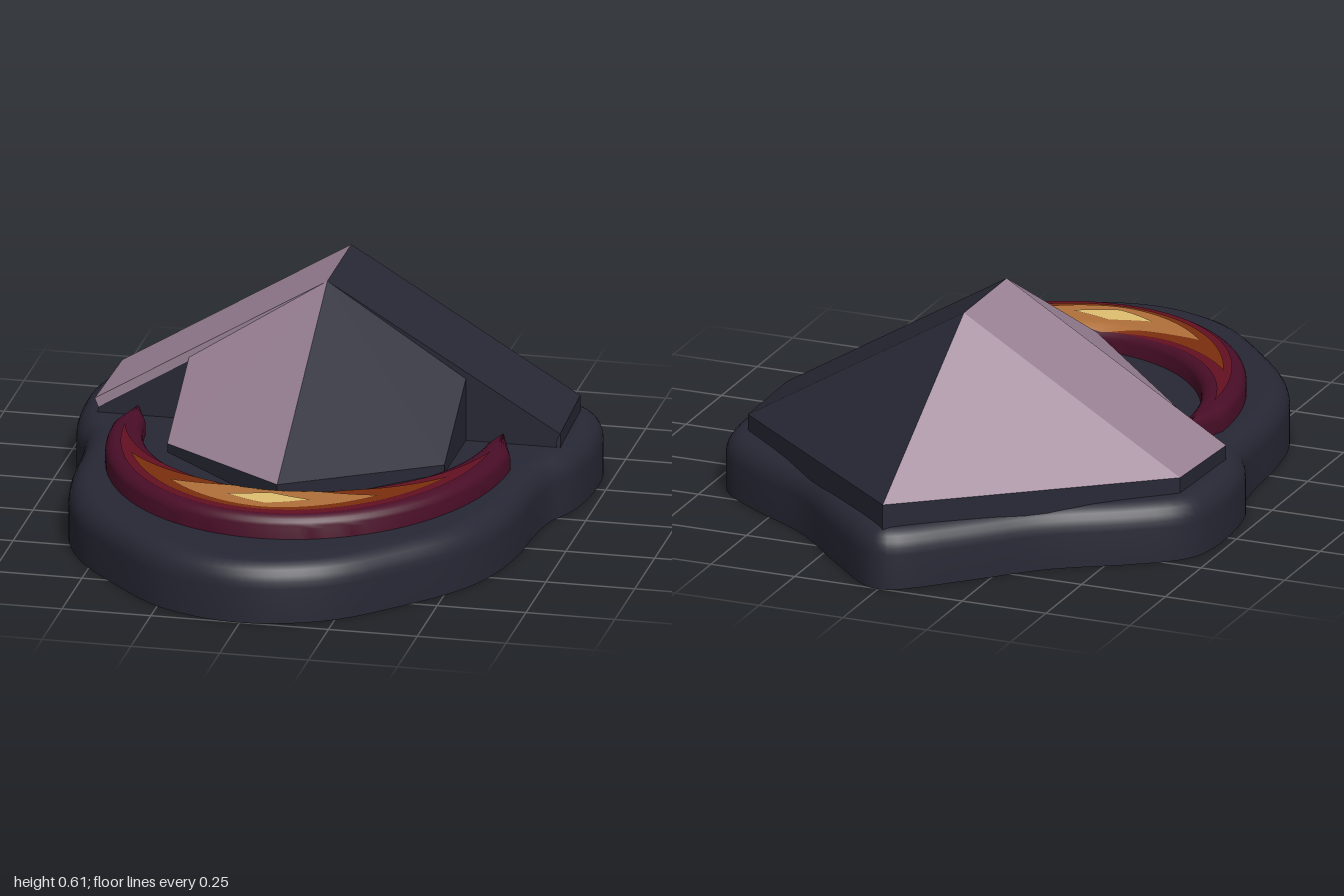
import * as THREE from 'three';
import { toCreasedNormals } from 'three/addons/utils/BufferGeometryUtils.js';

const mat = (name, color) => {
  const m = new THREE.MeshStandardMaterial({ color });
  m.name = name;
  return m;
};

// Flat polygons, fan-triangulated; side = -1 mirrors them across x = 0
function polygons(list, side) {
  const pos = [];
  for (const pts of list) {
    for (let i = 1; i < pts.length - 1; i++) {
      const tri = side > 0 ? [pts[0], pts[i], pts[i + 1]] : [pts[0], pts[i + 1], pts[i]];
      for (const [x, y, z] of tri) pos.push(x * side, y, z);
    }
  }
  const g = new THREE.BufferGeometry();
  g.setAttribute('position', new THREE.Float32BufferAttribute(pos, 3));
  g.computeVertexNormals();
  return g;
}

// Upright slab with a rounded rim, drawn in plan as (x, -z)
function slab(points, depth, bevel, rise, y) {
  const g = new THREE.ExtrudeGeometry(new THREE.Shape(points), {
    depth, bevelEnabled: true, bevelThickness: rise, bevelSize: bevel,
    bevelOffset: 0, bevelSegments: 6,
  });
  return g.rotateX(-Math.PI / 2).translate(0, y, 0);
}

// Crescent edges: inner and outer half ellipses, t = 0 at the front
const RIM = 0.035;
const inner = (t, inset = 0) => [(0.48 + inset) * Math.sin(t), 0.01 + (0.55 + inset) * Math.cos(t)];
const outer = (t, inset = 0) => [(0.56 - inset) * Math.sin(t), 0.1 + (0.685 - inset) * Math.cos(t)];

// Thin pointed colour band draped over the crescent
function band(tMax, f0, f1, tip, power, lift) {
  const nt = 48, nf = 12, pos = [], index = [];
  for (let i = 0; i <= nt; i++) {
    const t = tMax * (2 * i / nt - 1);
    const k = 1 - Math.abs(t / tMax) ** power;
    const a = inner(t), b = outer(t);
    const width = Math.hypot(b[0] - a[0], b[1] - a[1]);
    for (let j = 0; j <= nf; j++) {
      const lo = tip + (f0 - tip) * k, hi = tip + (f1 - tip) * k;
      const f = lo + (hi - lo) * j / nf;
      const e = Math.max(0, RIM - width * Math.min(f, 1 - f));
      const y = 0.2 + Math.sqrt(RIM * RIM - e * e) + lift;
      pos.push(a[0] + (b[0] - a[0]) * f, y, a[1] + (b[1] - a[1]) * f);
      if (i < nt && j < nf) {
        const p = i * (nf + 1) + j, q = p + nf + 1;
        index.push(p, p + 1, q, q, p + 1, q + 1);
      }
    }
  }
  const g = new THREE.BufferGeometry();
  g.setAttribute('position', new THREE.Float32BufferAttribute(pos, 3));
  g.setIndex(index);
  g.computeVertexNormals();
  return g;
}

export function createModel() {
  const group = new THREE.Group();
  const add = (name, geometry, material) => {
    const m = new THREE.Mesh(geometry, material);
    m.name = name;
    group.add(m);
  };
  const slate = mat('dark slate', 0x272835);
  const mauve = mat('mauve', 0x9a8295);
  const maroon = mat('maroon', 0x4a0e28);
  const red = mat('deep red', 0x631020);
  const rust = mat('rust', 0x7c2e0e);
  const amber = mat('amber', 0xb0703a);
  const gold = mat('pale gold', 0xe0c070);

  // Base: shield-like outline with a soft upper rim (outline already inset by the rim)
  const half = [[0.01, -0.94], [0.16, -0.8], [0.33, -0.63], [0.54, -0.495], [0.64, -0.41], [0.66, -0.34],
    [0.66, -0.2], [0.64, -0.08], [0.6, 0.01], [0.58, 0.14], [0.57, 0.3], [0.54, 0.46],
    [0.48, 0.59], [0.36, 0.735], [0.22, 0.87], [0.1, 0.925]];
  const loop = [...half, [0, 0.94], ...half.slice().reverse().map(([x, z]) => [-x, z])];
  const curve = new THREE.CatmullRomCurve3(loop.map(([x, z]) => new THREE.Vector3(x, -z, 0)), true);
  const outline = curve.getPoints(120).slice(0, -1).map((p) => new THREE.Vector2(p.x, p.y));
  const baseGeo = slab(outline, 0.1, 0.06, 0.07, 0);
  const bp = baseGeo.attributes.position;
  for (let i = 0; i < bp.count; i++) bp.setY(i, Math.max(0, bp.getY(i)));
  add('base', toCreasedNormals(baseGeo, 0.6), slate);

  // Faceted roof: gable, tapering rear and narrower front wedge
  const low = 0.11;
  const drop = ([x, , z]) => [x, low, z];
  const A = [0, 0.605, -0.1], B = [0, 0.605, -0.4];
  const C = [0.645, 0.215, -0.4], D = [0.655, 0.21, -0.1], T = [0, 0.235, -0.97];
  const E = [0.39, 0.35, -0.1], F = [0.39, 0.195, 0.17], G = [0, 0.235, 0.53];
  const eTop = [0.39, 0.37, -0.1], e1 = [0.39, 0.34, -0.1], d1 = [0.645, 0.185, -0.1];
  const top = [[A, D, C, B], [B, C, T], [A, G, F, E], [A, E, eTop], [e1, d1, D, eTop]];
  const walls = [
    [drop(E), drop(D), d1, e1],
    [drop(F), drop(E), E, F],
    [drop(G), drop(F), F, G],
    [drop(D), drop(C), C, D],
    [drop(C), drop(T), T, C],
  ];
  for (const [side, label, paint] of [[1, 'left', slate], [-1, 'right', mauve]]) {
    add(label + 'RoofFacets', polygons(top, side), paint);
    add(label + 'RoofWalls', polygons(walls, side), slate);
  }

  // Crescent ridge around the front wedge
  const arc = (fn, dir) => Array.from({ length: 49 }, (_, i) => {
    const [x, z] = fn(dir * Math.PI * (i / 48 - 0.5), RIM);
    return new THREE.Vector2(x, -z);
  });
  add('crescent', toCreasedNormals(slab([...arc(outer, 1), ...arc(inner, -1)], 0.1, RIM, RIM, 0.1), 0.7), maroon);

  // Glowing colour bands, each nested on the last
  add('redBand', band(1.42, 0.04, 0.88, 0.5, 2.2, 0.002), red);
  add('rustBand', band(1.03, 0.03, 0.79, 0.5, 1.8, 0.004), rust);
  add('amberBand', band(0.6, 0.02, 0.73, 0.5, 1.6, 0.006), amber);
  add('goldBand', band(0.23, 0.24, 0.61, 0.45, 1.1, 0.008), gold);
  return group;
}
